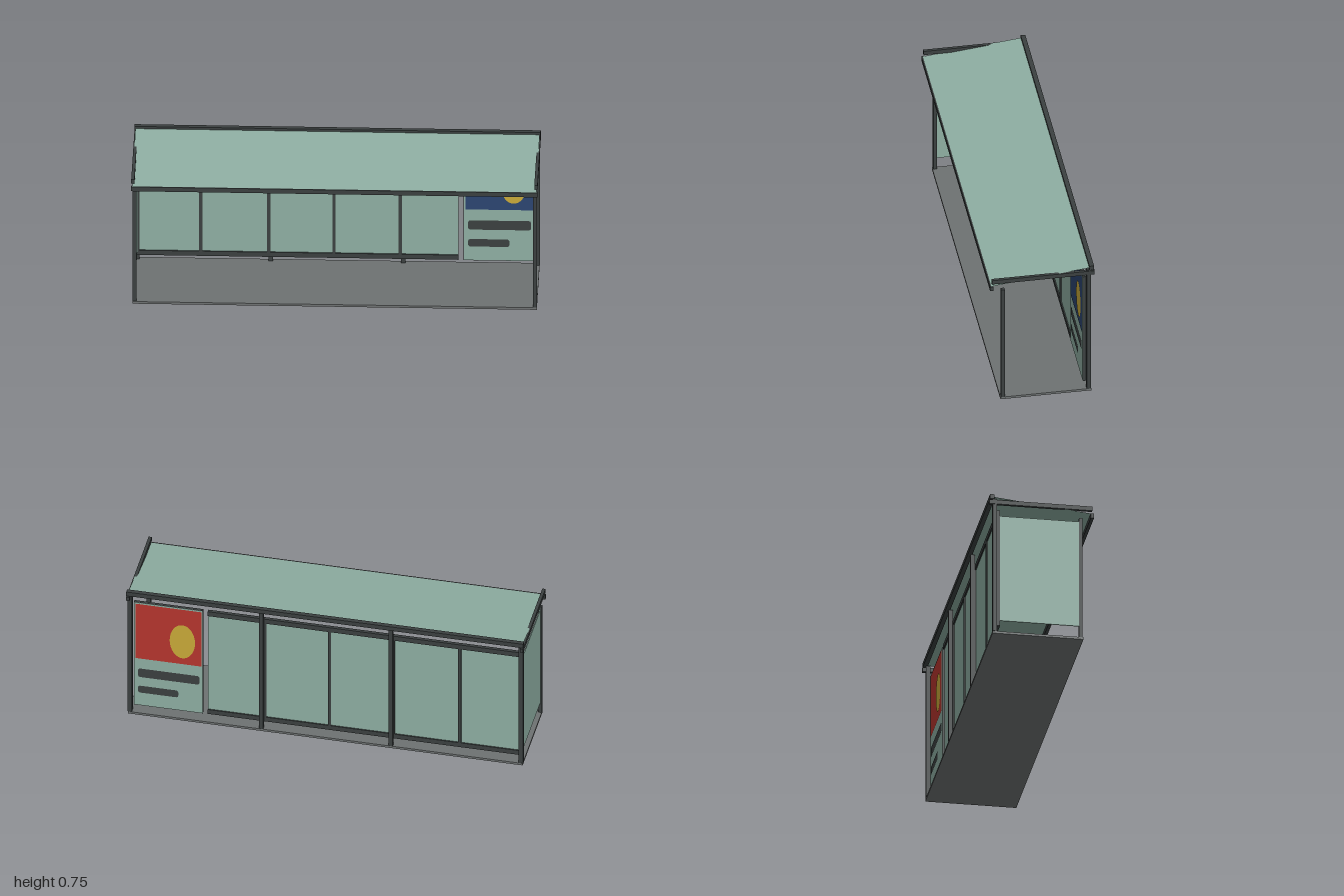
import * as THREE from 'three';

const mat = (name, color, side = THREE.FrontSide) => {
  const m = new THREE.MeshStandardMaterial({ color, side });
  m.name = name;
  return m;
};

export function createModel() {
  const model = new THREE.Group();
  model.name = 'busShelter';

  const steel = mat('darkSteel', 0x3b4040);
  const glass = mat('paleGreenGlass', 0x8eaea2, THREE.DoubleSide);
  const slab = mat('greySlab', 0x6e7272);
  const blue = mat('posterBlue', 0x2c4470);
  const red = mat('posterRed', 0xb5352e);
  const gold = mat('posterGold', 0xc9a939);

  // Box given by its lower and upper limits on each axis
  const box = (name, material, [x0, x1], [y0, y1], [z0, z1], parent = model) => {
    const mesh = new THREE.Mesh(new THREE.BoxGeometry(x1 - x0, y1 - y0, z1 - z0), material);
    mesh.position.set((x0 + x1) / 2, (y0 + y1) / 2, (z0 + z1) / 2);
    mesh.name = name;
    parent.add(mesh);
    return mesh;
  };

  // Ground slab
  box('baseSlab', slab, [-0.995, 0.995], [0, 0.012], [-0.244, 0.21]);

  // Posts: four along the back, two at the front corners
  for (const x of [-0.986, -0.329, 0.324, 0.986]) {
    box('backPost', steel, [x - 0.011, x + 0.011], [0.012, 0.727], [-0.243, -0.221]);
  }
  for (const x of [-0.986, 0.986]) {
    box('frontPost', steel, [x - 0.01, x + 0.01], [0.012, 0.657], [0.188, 0.206]);
  }

  // Roof beams
  box('backRoofBeam', steel, [-1, 1], [0.727, 0.751], [-0.257, -0.234]);
  box('frontRoofBeam', steel, [-1, 1], [0.661, 0.685], [0.246, 0.262]);
  for (const x of [-0.992, 0.992]) {
    box('sideRoofBeam', steel, [x - 0.008, x + 0.008], [0.7, 0.722], [-0.26, 0.253]);
  }

  // Thin sloping roof sheet
  const front = { z: 0.255, y: 0.685 }, back = { z: -0.246, y: 0.74 };
  const roofGeo = new THREE.PlaneGeometry(1.99, Math.hypot(front.z - back.z, back.y - front.y));
  const roof = new THREE.Mesh(roofGeo, glass);
  roof.rotation.x = -Math.PI / 2 + Math.atan2(back.y - front.y, front.z - back.z);
  roof.position.set(0, (front.y + back.y) / 2, (front.z + back.z) / 2);
  roof.name = 'roofSheet';
  model.add(roof);

  // Back wall: rails, mullions and glazing
  const wallZ = [-0.222, -0.205];
  const wallX = [-0.99, 0.597];
  box('bottomRail', steel, wallX, [0.045, 0.071], wallZ);
  box('topRail', steel, wallX, [0.643, 0.67], wallZ);
  for (const x of [-0.982, -0.672, -0.337, -0.016, 0.31]) {
    box('mullion', steel, [x - 0.008, x + 0.008], [0.071, 0.643], wallZ);
  }
  box('backGlass', glass, wallX, [0.071, 0.643], [-0.216, -0.211]);

  // Glazed end wall on one side only
  box('endGlass', glass, [-0.989, -0.984], [0.073, 0.64], [-0.205, 0.188]);

  // Poster case, with a face on each side
  const poster = new THREE.Group();
  poster.name = 'posterCase';
  poster.position.set(0.796, 0, -0.2135);
  model.add(poster);
  box('caseBody', steel, [-0.174, 0.174], [0.043, 0.67], [-0.0075, 0.0075], poster);

  const pill = (w, h, r) => {
    const s = new THREE.Shape();
    s.moveTo(r, 0);
    s.lineTo(w - r, 0).quadraticCurveTo(w, 0, w, r);
    s.lineTo(w, h - r).quadraticCurveTo(w, h, w - r, h);
    s.lineTo(r, h).quadraticCurveTo(0, h, 0, h - r);
    s.lineTo(0, r).quadraticCurveTo(0, 0, r, 0);
    return s;
  };
  const flat = (name, geo, material, x, y, z, parent) => {
    const mesh = new THREE.Mesh(geo, material);
    mesh.position.set(x, y, z);
    mesh.name = name;
    parent.add(mesh);
    return mesh;
  };

  for (const [name, colour, turn] of [['frontPoster', blue, 0], ['backPoster', red, Math.PI]]) {
    const face = new THREE.Group();
    face.name = name;
    face.rotation.y = turn;
    poster.add(face);
    box('posterSheet', glass, [-0.173, 0.173], [0.044, 0.669], [0.007, 0.0085], face);
    flat('pictureBlock', new THREE.PlaneGeometry(0.332, 0.332), colour, 0.002, 0.496, 0.0105, face);
    const disc = flat('pictureOval', new THREE.CircleGeometry(1, 32), gold, 0.072, 0.468, 0.0125, face);
    disc.scale.set(0.064, 0.101, 1);
    flat('longBar', new THREE.ShapeGeometry(pill(0.31, 0.052, 0.014)), steel, -0.152, 0.217, 0.0105, face);
    flat('shortBar', new THREE.ShapeGeometry(pill(0.203, 0.042, 0.014)), steel, -0.152, 0.122, 0.0105, face);
  }

  return model;
}
